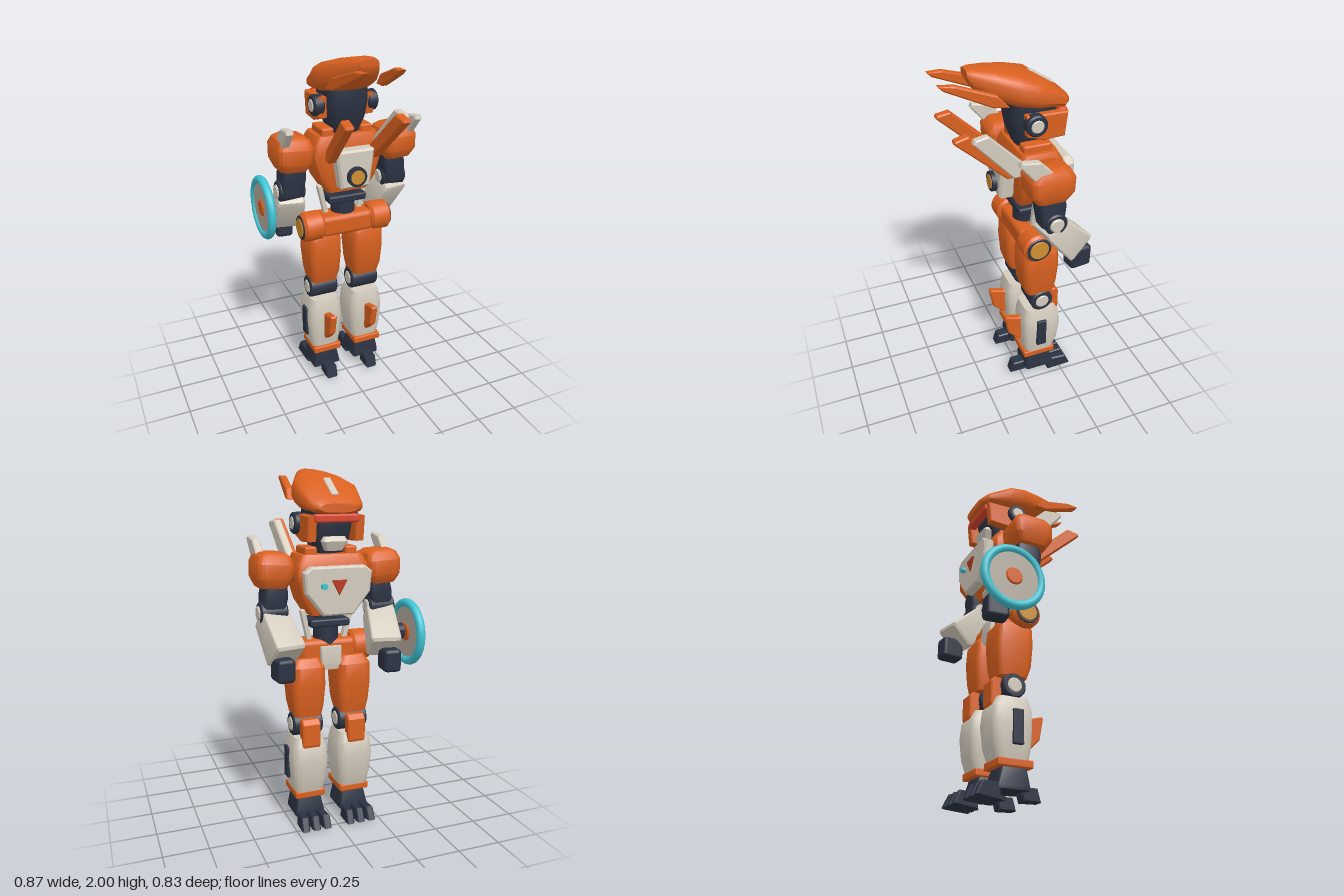
import * as THREE from 'three';
import { toCreasedNormals } from 'three/addons/utils/BufferGeometryUtils.js';
import { RoundedBoxGeometry } from 'three/addons/geometries/RoundedBoxGeometry.js';

const paint = (name, color) => {
  const m = new THREE.MeshStandardMaterial({ color });
  m.name = name;
  return m;
};

export function createModel() {
  const orange = paint('orange armour', 0xd9601f), cream = paint('cream armour', 0xd3cbbd);
  const dark = paint('dark joints', 0x2b3242), gold = paint('gold discs', 0xcf8e2e);
  const cyan = paint('cyan ring', 0x3fc4d4), red = paint('red visor', 0xd8442c);
  const shieldGrey = paint('shield face', 0xb5aca0), emblem = paint('dark red triangle', 0xb83a22);

  const model = new THREE.Group();
  model.name = 'robot';
  const body = new THREE.Group();
  body.name = 'body';
  body.position.x = 0.014;
  model.add(body);

  const add = (name, geo, mat, x = 0, y = 0, z = 0, parent = body) => {
    const m = new THREE.Mesh(geo, mat);
    m.name = name;
    m.position.set(x, y, z);
    parent.add(m);
    return m;
  };
  const box = (name, mat, w, h, d, x, y, z, r = 0.012) =>
    add(name, new RoundedBoxGeometry(w, h, d, 2, r), mat, x, y, z);

  // Cylinder lying along x, with chamfered rims
  const drum = (name, mat, r, w, x, y, z, c = 0.008) => {
    const pts = [[0, -w / 2], [r - c, -w / 2], [r, c - w / 2], [r, w / 2 - c], [r - c, w / 2], [0, w / 2]];
    const g = new THREE.LatheGeometry(pts.map(p => new THREE.Vector2(...p)), 32).rotateZ(-Math.PI / 2);
    return add(name, toCreasedNormals(g, 0.6), mat, x, y, z);
  };

  // Rounded-rectangle sections [y, half width, half depth, z centre] joined along y
  const loft = (secs, f = 0.4, crease = 0.6) => {
    const pos = [], idx = [], n = 16;
    for (const [t, hw, hd, c = 0] of secs) {
      for (let i = 0; i < n; i++) {
        const q = Math.floor(i / 4), a = (q + (i % 4) / 3) * Math.PI / 2;
        const sx = q === 0 || q === 3 ? 1 : -1, sz = q < 2 ? 1 : -1;
        pos.push(hw * (sx * (1 - f) + f * Math.cos(a)), t, c + hd * (sz * (1 - f) + f * Math.sin(a)));
      }
    }
    const last = secs.length - 1;
    for (let j = 0; j < last; j++) for (let i = 0; i < n; i++) {
      const a = j * n + i, b = j * n + (i + 1) % n;
      idx.push(a, a + n, b, b, a + n, b + n);
    }
    for (let i = 1; i < n - 1; i++) idx.push(0, i, i + 1, last * n, last * n + i + 1, last * n + i);
    const g = new THREE.BufferGeometry();
    g.setAttribute('position', new THREE.Float32BufferAttribute(pos, 3));
    g.setIndex(idx);
    return toCreasedNormals(g, crease);
  };

  const extrude = (pts, depth, b) => new THREE.ExtrudeGeometry(
    new THREE.Shape(pts.map(p => new THREE.Vector2(...p))),
    { depth: depth - 2 * b, bevelSize: b, bevelThickness: b, bevelOffset: -b, bevelSegments: 1 }
  ).translate(0, 0, b - depth / 2);

  // Plate with a [z, y] side profile, leaning in x by the slope k along z
  const fin = (name, mat, pts, w, x, k = 0) => {
    const g = extrude(pts, w, 0.007).rotateY(-Math.PI / 2), p = g.attributes.position;
    for (let i = 0; i < p.count; i++) p.setX(i, p.getX(i) + x + k * p.getZ(i));
    g.computeVertexNormals();
    return add(name, g, mat);
  };

  // Helmet shell: [z, half width, low y, high y]
  const helmet = [[-0.275, 0.1, 1.775, 1.82], [-0.24, 0.145, 1.765, 1.85], [-0.1, 0.175, 1.77, 1.94],
    [0, 0.165, 1.79, 1.965], [0.12, 0.115, 1.835, 1.99], [0.22, 0.068, 1.9, 2], [0.247, 0.052, 1.95, 1.995]];
  add('helmet', loft(helmet.map(([z, w, lo, hi]) => [z, w, (hi - lo) / 2, -(hi + lo) / 2]), 0.7, 0.7)
    .rotateX(Math.PI / 2), orange);
  box('helmetStripe', cream, 0.042, 0.02, 0.155, 0, 1.902, -0.155, 0.008).rotation.x = -0.57;

  // Head
  add('head', loft([[1.56, 0.075, 0.08, -0.09], [1.64, 0.105, 0.11, -0.09], [1.73, 0.12, 0.125, -0.09],
    [1.81, 0.12, 0.12, -0.09]], 0.5), dark);
  add('neck', new THREE.CylinderGeometry(0.065, 0.075, 0.12, 24), dark, 0, 1.55, -0.08);
  box('visor', red, 0.25, 0.045, 0.05, 0, 1.745, -0.235);
  add('chin', loft([[1.575, 0.045, 0.045, -0.175], [1.625, 0.07, 0.06, -0.18], [1.65, 0.06, 0.05, -0.17]], 0.25), cream);

  // Torso
  add('torso', loft([[1.225, 0.12, 0.09, -0.09], [1.3, 0.165, 0.11, -0.09], [1.44, 0.208, 0.125, -0.1],
    [1.5, 0.2, 0.125, -0.1], [1.555, 0.175, 0.1, -0.095]], 0.25), orange);
  add('chestPlate', extrude([[-0.15, 1.5], [-0.19, 1.47], [-0.18, 1.36], [-0.085, 1.24], [0.085, 1.24],
    [0.18, 1.36], [0.19, 1.47], [0.15, 1.5]], 0.06, 0.01), cream, 0, 0, -0.255);
  add('chestTriangle', extrude([[-0.043, 1.43], [0, 1.35], [0.043, 1.43]], 0.012, 0.002), emblem, 0, 0, -0.289);
  add('chestGem', new THREE.CylinderGeometry(0.016, 0.016, 0.03, 20).rotateX(Math.PI / 2), cyan, 0.088, 1.4, -0.295);
  add('backPanel', extrude([[-0.085, 1.275], [0.085, 1.275], [0.115, 1.49], [-0.115, 1.49]], 0.085, 0.012),
    cream, 0, 0, 0.06);
  add('thrusterRim', new THREE.CylinderGeometry(0.056, 0.056, 0.03, 32).rotateX(Math.PI / 2), dark, 0, 1.345, 0.112);
  add('thrusterDisc', new THREE.CylinderGeometry(0.04, 0.04, 0.01, 32).rotateX(Math.PI / 2), gold, 0, 1.345, 0.126);
  fin('sideFin', cream, [[0.28, 1.69], [0.27, 1.71], [0.2, 1.72], [0, 1.52], [0, 1.45], [0.06, 1.45]], 0.045, 0.168, 0.1);

  // Waist and pelvis
  add('waist', new THREE.CylinderGeometry(0.07, 0.07, 0.22, 28), dark, 0, 1.14, -0.08);
  box('waistBelt', dark, 0.23, 0.045, 0.16, 0, 1.175, -0.08);
  box('pelvis', orange, 0.32, 0.125, 0.16, 0, 1.018, -0.07, 0.03);
  add('hipGuard', loft([[0.915, 0.045, 0.025, -0.15], [0.96, 0.06, 0.04, -0.145], [1.045, 0.06, 0.035, -0.14]], 0.2), cream);

  for (const s of [-1, 1]) {
    // Head sides
    fin('horn', orange, [[0.41, 1.965], [0.33, 1.962], [0.13, 1.895], [0.07, 1.83], [0.15, 1.835], [0.385, 1.94]],
      0.042, s * 0.157, -s * 0.15);
    fin('cheek', orange, [[-0.02, 1.765], [-0.025, 1.65], [-0.12, 1.62], [-0.235, 1.625], [-0.25, 1.76]],
      0.05, s * 0.138, s * 0.02);
    drum('earRim', dark, 0.058, 0.06, s * 0.158, 1.715, -0.068);
    drum('earDisc', cream, 0.038, 0.02, s * 0.183, 1.715, -0.068);

    // Collar and shoulder
    fin('collarFin', orange, [[0.365, 1.69], [0.36, 1.705], [0.29, 1.72], [0.05, 1.5], [0.03, 1.43], [0.08, 1.43]],
      0.052, s * 0.125, s * 0.09);
    box('collarBlock', orange, 0.07, 0.07, 0.16, s * 0.115, 1.56, -0.09);
    drum('shoulderJoint', dark, 0.055, 0.12, s * 0.21, 1.46, -0.08);
    const pad = add('shoulder', loft([[-0.095, 0.075, 0.085], [-0.045, 0.1, 0.118], [0.035, 0.104, 0.122],
      [0.075, 0.088, 0.1], [0.092, 0.06, 0.075]], 0.4), orange, s * 0.312, 1.475, -0.075);
    pad.rotation.z = s * 0.06;
    fin('shoulderFin', cream, [[0.108, 1.62], [0.1, 1.645], [0, 1.63], [-0.07, 1.56], [0.03, 1.53]],
      0.044, s * 0.37, s * 0.03);

    // Arm
    const upper = add('upperArm', loft([[-0.11, 0.06, 0.06], [0, 0.068, 0.075], [0.08, 0.06, 0.065]], 0.35),
      dark, s * 0.306, 1.33, -0.09);
    upper.rotation.z = s * 0.12;
    drum('elbow', dark, 0.062, 0.15, s * 0.315, 1.245, -0.1);
    drum('elbowDisc', cream, 0.04, 0.17, s * 0.315, 1.245, -0.1);
    const forearm = add('forearm', loft([[-0.265, 0.076, 0.078], [-0.25, 0.085, 0.09], [-0.02, 0.078, 0.07],
      [0, 0.068, 0.058]], 0.15), cream, s * 0.318, 1.225, -0.08);
    forearm.rotation.set(0.75, s * 0.2, 0, 'YXZ');
    box('fist', dark, 0.1, 0.13, 0.13, s * 0.31, 0.97, -0.268, 0.022).rotation.y = s * 0.1;

    // Waist strut and hip
    box('waistStrut', cream, 0.028, 0.19, 0.04, s * 0.122, 1.155, -0.09, 0.006).rotation.z = -s * 0.22;
    drum('hip', orange, 0.086, 0.125, s * 0.208, 1.02, -0.057, 0.015);
    drum('hipRim', dark, 0.07, 0.012, s * 0.27, 1.02, -0.057, 0.004);
    drum('hipDisc', gold, 0.055, 0.012, s * 0.275, 1.02, -0.057, 0.003);

    // Leg
    const x = s * 0.135;
    add('thigh', loft([[0.655, 0.078, 0.083, -0.105], [0.72, 0.09, 0.1, -0.1], [0.84, 0.099, 0.109, -0.1],
      [0.94, 0.096, 0.106, -0.098], [0.985, 0.07, 0.08, -0.09]], 0.4), orange, x);
    drum('knee', dark, 0.068, 0.172, x, 0.6, -0.108);
    drum('kneeDisc', cream, 0.043, 0.184, x, 0.6, -0.108);
    fin('kneeGuard', orange, [[-0.165, 0.64], [-0.205, 0.645], [-0.228, 0.62], [-0.228, 0.5], [-0.215, 0.46], [-0.17, 0.46]],
      0.105, x);
    add('shin', loft([[0.205, 0.085, 0.09, -0.108], [0.28, 0.098, 0.108, -0.113], [0.4, 0.107, 0.117, -0.116],
      [0.48, 0.1, 0.112, -0.114], [0.535, 0.083, 0.092, -0.108]], 0.45), cream, x);
    box('shinPanel', dark, 0.03, 0.185, 0.06, s * 0.237, 0.372, -0.1, 0.006);
    fin('calfFin', orange, [[0.098, 0.465], [0.09, 0.475], [0.01, 0.452], [-0.02, 0.45], [-0.02, 0.28], [0.005, 0.275],
      [0.075, 0.345]], 0.042, x);
    box('ankleBand', orange, 0.176, 0.042, 0.2, x, 0.192, -0.1, 0.008);

    // Foot with a heel spur and three toes
    add('ankle', loft([[0.06, 0.085, 0.09, -0.108], [0.08, 0.085, 0.09, -0.108], [0.175, 0.068, 0.07, -0.1]], 0.15), dark, x);
    fin('heel', dark, [[0.07, 0.018], [0.05, 0.088], [-0.04, 0.09], [-0.04, 0.05], [-0.03, 0.015]], 0.07, x);
    for (const t of [-1, 0, 1])
      fin('toe', dark, [[-0.17, 0], [-0.185, 0.09], [-0.28, 0.092], [-0.315, 0.02], [-0.3, 0.015]],
        0.045, x + t * 0.04, -t * 0.08);
  }

  // Round shield on the right forearm
  const [sx, sy, sz] = [-0.434, 1.108, -0.23];
  add('shieldRing', new THREE.TorusGeometry(0.164, 0.024, 14, 48).rotateY(Math.PI / 2), cyan, sx, sy, sz);
  drum('shieldFace', shieldGrey, 0.16, 0.02, sx, sy, sz, 0.002);
  drum('shieldHub', orange, 0.05, 0.035, sx, sy, sz);
  drum('shieldMount', dark, 0.045, 0.06, sx + 0.04, sy, sz + 0.03);
  return model;
}
